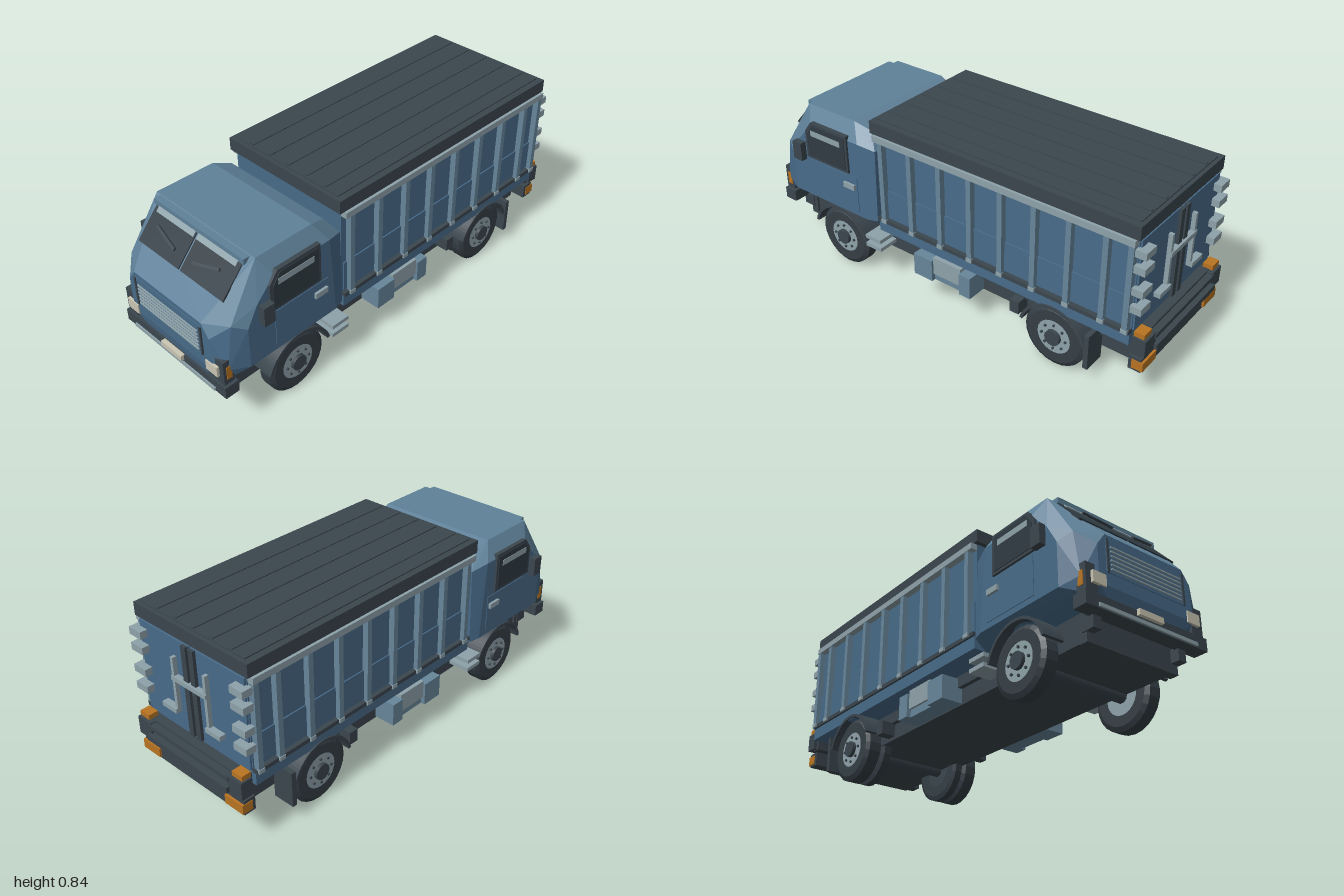
import * as THREE from 'three';
import { ConvexGeometry } from 'three/addons/geometries/ConvexGeometry.js';

const mat = (name, color) => Object.assign(new THREE.MeshStandardMaterial({ color }), { name });

export function createModel() {
  const truck = new THREE.Group();
  truck.name = 'boxTruck';
  const blue = mat('bodyBlue', 0x486b89), pale = mat('roofBlue', 0x5f8199), post = mat('postBlueGrey', 0x67869a);
  const dark = mat('darkGrey', 0x3b464e), glass = mat('glass', 0x303b43), rubber = mat('rubber', 0x353f46);
  const trim = mat('lightGrey', 0x8ea2a9), cream = mat('lampCream', 0xcbc6b4), orange = mat('amber', 0xb87422);

  const add = (name, geo, m, x = 0, y = 0, z = 0, parent = truck) => {
    const mesh = new THREE.Mesh(geo, m);
    mesh.name = name;
    mesh.position.set(x, y, z);
    parent.add(mesh);
    return mesh;
  };
  // box from its ranges along x, y and z
  const box = (name, m, [x0, x1], [y0, y1], [z0, z1], parent) =>
    add(name, new THREE.BoxGeometry(x1 - x0, y1 - y0, z1 - z0), m,
      (x0 + x1) / 2, (y0 + y1) / 2, (z0 + z1) / 2, parent);
  // the same box on the left and right side
  const pair = (name, m, [a, b], ys, zs) => {
    box(name + 'Left', m, [a, b], ys, zs);
    box(name + 'Right', m, [-b, -a], ys, zs);
  };
  // slab cut from a side outline of [z, y] points, facing sideways
  const slab = (name, m, shape, depth, x, y = 0, z = 0) =>
    add(name, new THREE.ExtrudeGeometry(shape, { depth, bevelEnabled: false, curveSegments: 14 }).rotateY(Math.PI / 2),
      m, x - depth / 2, y, z);

  // Cab: faceted hull, upward facets in the roof colour
  const half = [
    [.20, .28, .975], [.245, .33, .985], [.245, .49, .985], [.205, .545, .985],
    [.30, .30, .93], [.305, .35, .955], [.305, .55, .925],
    [.335, .33, .87], [.335, .52, .87], [.335, .61, .82], [.335, .70, .735],
    [.29, .78, .778], [.29, .78, .50], [.335, .70, .45], [.335, .33, .42],
    [.27, .75, .42], [.31, .68, .37], [.32, .33, .37], [.23, .255, .37], [.20, .26, .95],
  ];
  const hull = new ConvexGeometry(half.flatMap(([x, y, z]) =>
    [new THREE.Vector3(x, y, z), new THREE.Vector3(-x, y, z)]));
  const normals = hull.attributes.normal;
  for (let i = 0; i < normals.count; i += 3) hull.addGroup(i, 3, normals.getY(i) > 0.15 ? 1 : 0);
  add('cab', hull, [blue, pale]);
  box('roofVisor', pale, [-.265, .265], [.752, .777], [.74, .812]);

  // Windscreen, laid on the sloping front
  const screen = new THREE.Group();
  screen.name = 'windscreen';
  screen.position.set(0, .6925, .855);
  screen.rotation.x = -Math.atan(.88);
  truck.add(screen);
  for (const s of [-1, 1]) {
    const pane = [s * .13 - .125, s * .13 + .125];
    box('windscreenPane', glass, pane, [-.083, .083], [-.003, .005], screen);
    box('sunVisor', trim, [s * .122 - .113, s * .122 + .113], [.052, .078], [.004, .01], screen);
    const wiper = box('wiper', dark, [-.068, .068], [-.006, .006], [.012, .022], screen);
    wiper.position.x = s * .12;
    wiper.position.y = -.008;
    wiper.rotation.z = s * .28;
  }

  // Grille and nose
  box('grillePanel', blue, [-.205, .205], [.385, .525], [.975, .988]);
  pair('grilleEnd', dark, [.195, .205], [.385, .525], [.98, .992]);
  for (let i = 0; i < 6; i++) {
    const y = .402 + i * .0183;
    box('grilleSlat', trim, [-.185, .185], [y - .003, y + .003], [.985, .994]);
  }
  pair('lampBezel', dark, [.245, .305], [.285, .40], [.93, .978]);
  pair('headlamp', cream, [.213, .28], [.32, .368], [.95, .99]);
  pair('sideMarker', orange, [.298, .308], [.31, .37], [.94, .965]);
  box('frontBumper', dark, [-.315, .315], [.225, .28], [.92, .985]);
  box('bumperStrip', trim, [-.255, .255], [.23, .245], [.98, .992]);
  box('numberPlate', cream, [-.063, .063], [.257, .282], [.98, 1.0]);
  box('frontSkirt', dark, [-.235, .235], [.135, .235], [.86, .90]);
  pair('bumperBracket', dark, [.2, .24], [.175, .23], [.88, .94]);

  // Doors, side windows and mirrors
  const outline = (pts) => new THREE.Shape(pts.map(([z, y]) => new THREE.Vector2(-z, y)));
  const frame = outline([[.507, .54], [.764, .54], [.764, .67], [.725, .722], [.507, .722]]);
  const pane = outline([[.52, .552], [.75, .552], [.75, .66], [.715, .71], [.52, .71]]);
  for (const s of [-1, 1]) {
    slab('windowFrame', dark, frame, .02, s * .335);
    slab('sideWindow', glass, pane, .026, s * .335);
  }
  pair('windowShade', trim, [.342, .35], [.658, .685], [.545, .725]);
  pair('doorPanel', blue, [.33, .338], [.355, .525], [.465, .74]);
  pair('doorHandle', trim, [.335, .35], [.465, .49], [.475, .54]);
  pair('mirror', dark, [.345, .375], [.525, .613], [.77, .822]);
  pair('mirrorArm', dark, [.32, .35], [.57, .585], [.785, .805]);
  pair('cabStepUpper', trim, [.23, .335], [.225, .243], [.35, .44]);
  pair('cabStepLower', trim, [.23, .335], [.182, .2], [.35, .44]);

  // Chassis
  box('chassis', dark, [-.225, .225], [.145, .265], [-.92, .89]);
  pair('chassisRail', dark, [.22, .245], [.215, .265], [-.90, .43]);
  for (const z of [.28, .0, -.28, -.58, -.85]) box('crossMember', dark, [-.2, .2], [.26, .3], [z - .03, z + .03]);
  pair('tankCentre', trim, [.22, .315], [.185, .27], [-.095, .055]);
  pair('tankLower', post, [.22, .305], [.15, .185], [-.15, .157]);
  pair('tankFront', post, [.22, .325], [.15, .255], [.055, .157]);
  pair('tankRear', post, [.22, .325], [.15, .255], [-.155, -.095]);
  pair('airBox', dark, [.22, .29], [.16, .22], [-.385, -.34]);

  // Wheels: lathed tyre, rim, hub and bolts
  const V = (x, y) => new THREE.Vector2(x, y);
  const tyreGeo = (w) => new THREE.LatheGeometry(
    [V(.08, -w), V(.125, -w), V(.145, -w * .7), V(.145, w * .7), V(.125, w), V(.08, w), V(.08, -w)], 24)
    .toNonIndexed().rotateZ(-Math.PI / 2);
  const disc = (r, h, n = 24) => new THREE.CylinderGeometry(r, r, h, n).rotateZ(Math.PI / 2);
  const flatten = (g) => { g.computeVertexNormals(); return g; };
  const outerTyre = flatten(tyreGeo(.039)), innerTyre = flatten(tyreGeo(.024));
  const arch = (r) => {
    const sh = new THREE.Shape();
    sh.absarc(0, 0, r + .01, .25, Math.PI - .25, false);
    sh.absarc(0, 0, r - .003, Math.PI - .25, .25, true);
    return sh;
  };
  for (const z of [.61, -.573]) for (const s of [-1, 1]) {
    const wheel = new THREE.Group();
    wheel.name = z > 0 ? 'frontWheel' : 'rearWheel';
    wheel.position.set(s * .266, .147, z);
    truck.add(wheel);
    add('tyre', outerTyre, rubber, 0, 0, 0, wheel);
    add('rim', disc(.084, .074), trim, 0, 0, 0, wheel);
    add('hub', disc(.036, .04, 16), dark, s * .033, 0, 0, wheel);
    for (let i = 0; i < 8; i++) {
      const a = i * Math.PI / 4;
      add('wheelBolt', disc(.006, .012, 6), dark, s * .038, .058 * Math.sin(a), .058 * Math.cos(a), wheel);
    }
    if (z < 0) {
      add('innerTyre', innerTyre, rubber, -s * .068, 0, 0, wheel);
      add('innerRim', disc(.084, .04), dark, -s * .068, 0, 0, wheel);
    }
    slab('wheelArch', dark, arch(z > 0 ? .158 : .152), .1, s * .275, .147, z);
  }
  add('frontAxle', disc(.03, .5, 10), dark, 0, .147, .61);
  add('rearAxle', disc(.03, .5, 10), dark, 0, .147, -.573);
  pair('mudFlap', dark, [.225, .328], [.085, .25], [-.752, -.73]);

  // Cargo body with side posts and rails
  box('cargoBody', blue, [-.305, .305], [.293, .79], [-.918, .36]);
  pair('lowerSidePanel', blue, [.30, .311], [.37, .51], [-.91, .35]);
  pair('sill', blue, [.30, .318], [.293, .347], [-.918, .36]);
  pair('bottomRail', dark, [.30, .327], [.347, .365], [-.918, .36]);
  pair('topRail', trim, [.30, .335], [.747, .775], [-.915, .358]);
  for (const z of [.32, .16, 0, -.157, -.313, -.474, -.634, -.795, -.9]) {
    pair('sidePost', post, [.30, .332], [.35, .765], [z - .012, z + .012]);
    pair('postFoot', trim, [.32, .335], [.35, .368], [z - .014, z + .014]);
  }

  // Roof cover with lengthwise ribs
  box('roofCover', dark, [-.322, .322], [.775, .833], [-.927, .38]);
  box('roofCoverTop', dark, [-.292, .292], [.83, .838], [-.91, .362]);
  for (let i = -2; i <= 2; i++) box('roofRib', dark, [i * .105 - .01, i * .105 + .01], [.835, .842], [-.905, .355]);

  // Rear doors
  pair('rearDoor', blue, [.006, .3], [.36, .765], [-.926, -.915]);
  pair('doorSealStrip', dark, [.008, .035], [.36, .765], [-.94, -.92]);
  pair('lockRod', trim, [.085, .1], [.45, .69], [-.945, -.92]);
  pair('lockHandle', trim, [.085, .17], [.44, .46], [-.955, -.925]);
  box('lockBar', trim, [-.1, .1], [.59, .61], [-.95, -.925]);
  for (const y of [.47, .55, .65, .72]) pair('doorHinge', trim, [.255, .325], [y - .016, y + .016], [-.96, -.905]);

  // Rear bumper and lamps
  box('rearPanel', dark, [-.295, .295], [.25, .34], [-.96, -.915]);
  box('rearStep', dark, [-.24, .24], [.26, .285], [-1.0, -.95]);
  box('rearStepUpper', dark, [-.24, .24], [.31, .33], [-.99, -.95]);
  pair('rearCorner', dark, [.23, .31], [.255, .335], [-.985, -.93]);
  pair('upperTailLamp', orange, [.25, .305], [.338, .36], [-.975, -.93]);
  box('rearBeam', dark, [-.3, .3], [.17, .235], [-.97, -.915]);
  pair('lowerTailLamp', orange, [.2, .303], [.18, .222], [-.98, -.93]);
  return truck;
}
